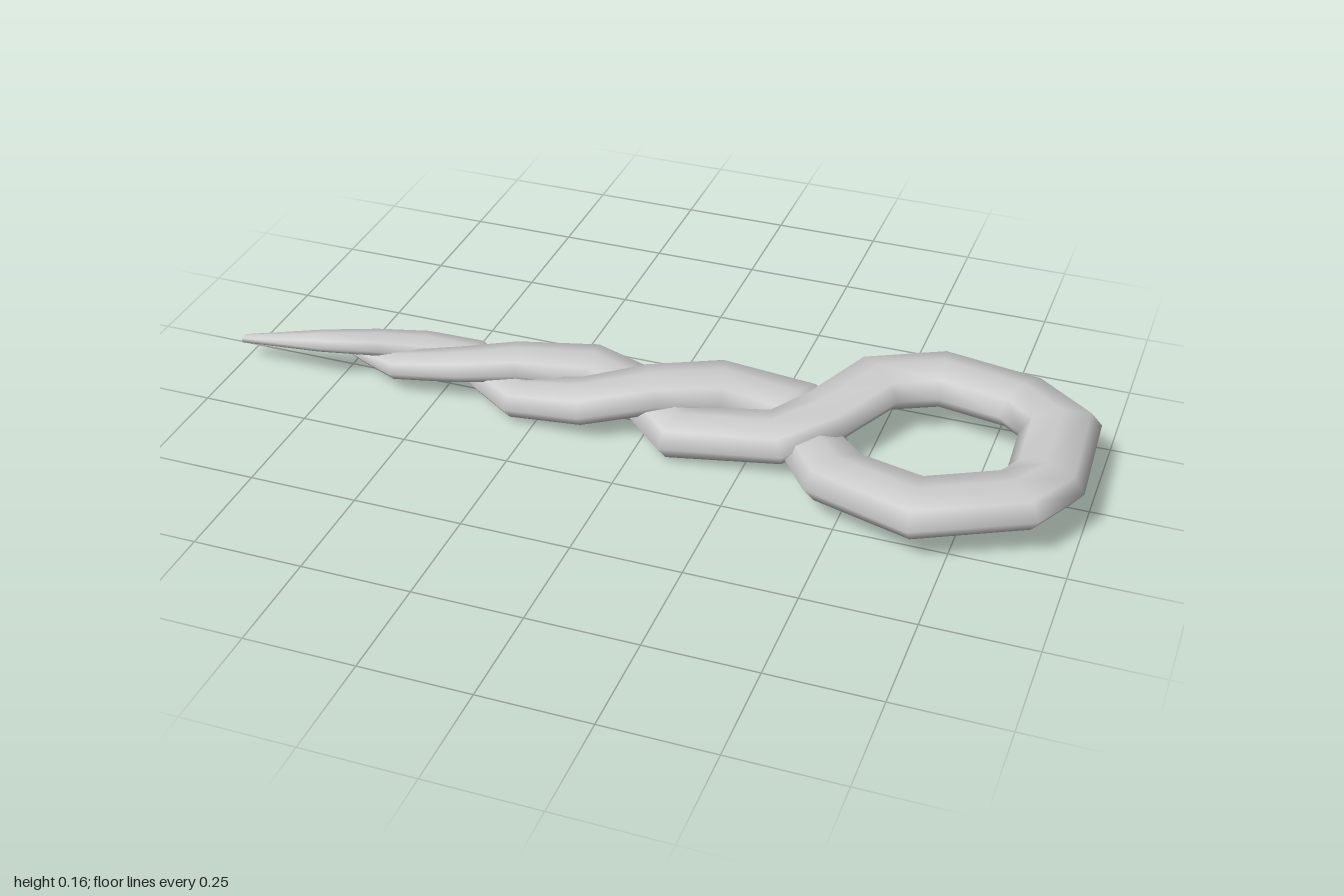
import * as THREE from 'three';

const SIDES = 8;
const FLATTEN = 0.58; // height of the strand relative to its width

// Centre line stations: x, y, z, half width
const longTail = [
  [-1.0, 0.055, 0.06, 0.014], [-0.79, 0.1, 0.073, 0.035], [-0.67, 0.09, 0.02, 0.044],
  [-0.57, 0.07, -0.032, 0.05], [-0.46, 0.058, -0.045, 0.055], [-0.38, 0.045, 0.005, 0.06],
  [-0.29, 0.047, 0.06, 0.067], [-0.14, 0.075, 0.068, 0.074], [0.0, 0.095, 0.0, 0.078],
  [0.14, 0.085, -0.08, 0.082], [0.31, 0.062, -0.09, 0.081], [0.4, 0.048, 0.04, 0.078],
];
const ring = [
  [0.485, 0.085, 0.175, 0.084], [0.675, 0.1, 0.246, 0.086], [0.865, 0.107, 0.158, 0.085],
  [0.91, 0.109, 0.075, 0.085], [0.9, 0.109, -0.135, 0.085], [0.8, 0.108, -0.213, 0.085],
  [0.61, 0.106, -0.25, 0.085], [0.475, 0.104, -0.185, 0.084],
];
const shortTail = [
  [0.4, 0.096, -0.03, 0.08], [0.31, 0.07, 0.052, 0.08], [0.1, 0.049, 0.074, 0.081],
  [0.03, 0.046, 0.01, 0.076], [-0.04, 0.057, -0.042, 0.074], [-0.17, 0.078, -0.068, 0.072],
  [-0.33, 0.095, -0.005, 0.064], [-0.46, 0.082, 0.033, 0.057], [-0.6, 0.062, 0.05, 0.048],
  [-0.69, 0.052, 0.02, 0.03], [-0.77, 0.055, 0.0, 0.014],
];

// Sweeps a flattened section along the stations, mitred at each bend and capped at both ends
function sweep(stations) {
  const pts = stations.map(([x, y, z]) => new THREE.Vector3(x, y, z));
  const up = new THREE.Vector3(0, 1, 0);
  const positions = [], index = [];
  const last = pts.length - 1;

  pts.forEach((p, i) => {
    const before = pts[Math.max(i - 1, 0)], after = pts[Math.min(i + 1, last)];
    const into = p.clone().sub(before).normalize();
    const out = after.clone().sub(p).normalize();
    if (i === 0) into.copy(out);
    if (i === last) out.copy(into);
    const tangent = into.clone().add(out).normalize();
    const mitre = Math.min(1 / tangent.dot(into), 1.25);
    const side = up.clone().cross(tangent).normalize();
    const lift = tangent.clone().cross(side);
    const r = stations[i][3];
    for (let k = 0; k < SIDES; k++) {
      const a = (k / SIDES) * Math.PI * 2;
      const v = p.clone()
        .addScaledVector(side, Math.cos(a) * r * mitre)
        .addScaledVector(lift, Math.sin(a) * r * FLATTEN);
      positions.push(v.x, v.y, v.z);
    }
  });

  // Walls, then the two end caps
  for (let i = 0; i < last; i++) {
    for (let k = 0; k < SIDES; k++) {
      const a = i * SIDES + k, b = i * SIDES + ((k + 1) % SIDES);
      index.push(a, b, b + SIDES, a, b + SIDES, a + SIDES);
    }
  }
  const end = last * SIDES;
  for (let k = 1; k < SIDES - 1; k++) {
    index.push(0, k + 1, k, end, end + k, end + k + 1);
  }

  const geometry = new THREE.BufferGeometry();
  geometry.setAttribute('position', new THREE.Float32BufferAttribute(positions, 3));
  geometry.setIndex(index);
  geometry.computeVertexNormals();
  return geometry;
}

export function createModel() {
  const group = new THREE.Group();
  group.name = 'twistedLoop';
  const material = new THREE.MeshStandardMaterial({ color: 0xcccccc });

  // One strand: up the long tail, round the loop and back down the short tail
  const strand = new THREE.Mesh(sweep([...longTail, ...ring, ...shortTail]), material);
  strand.name = 'loopedStrand';
  group.add(strand);

  return group;
}
